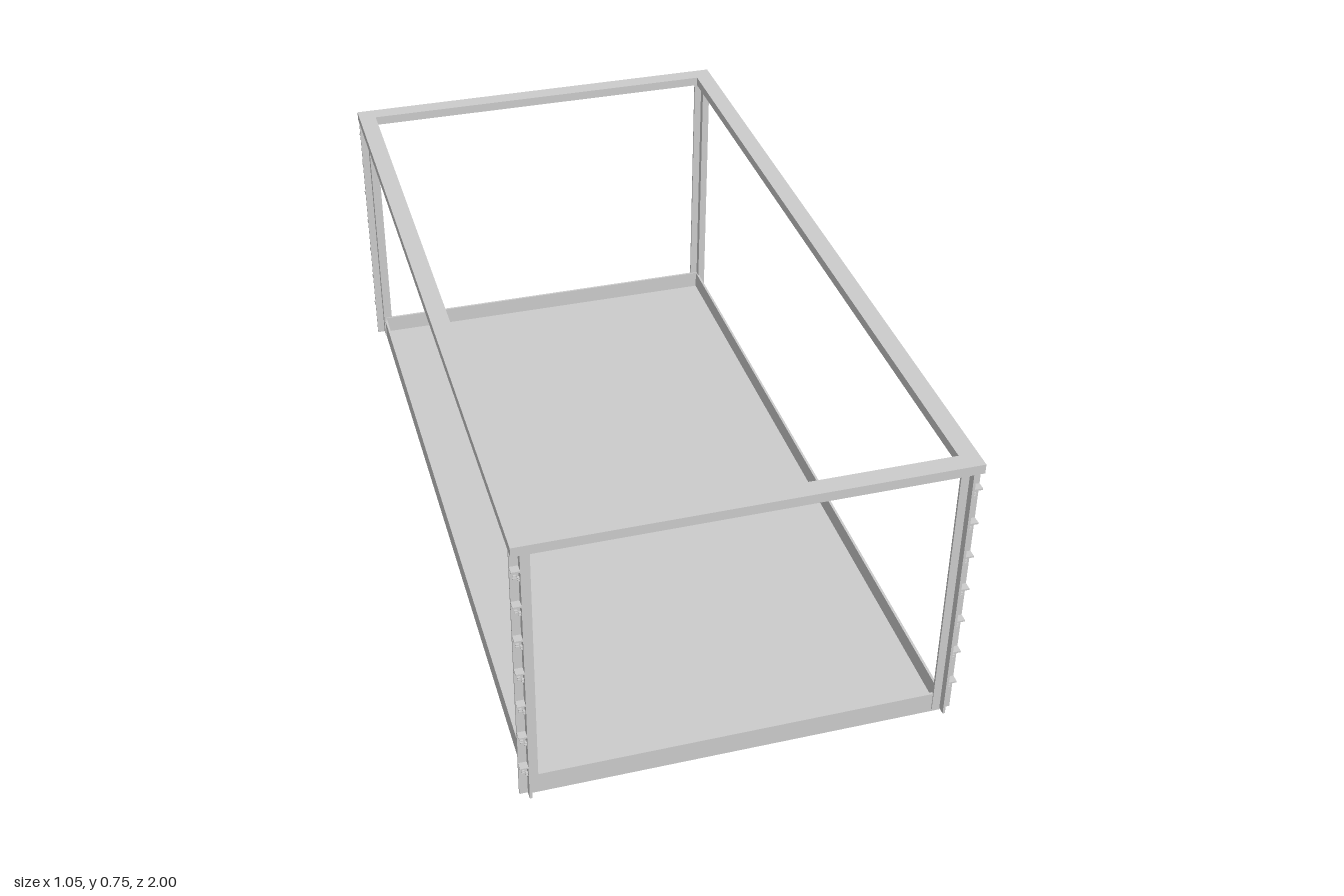
import * as THREE from 'three';

const HX = 0.523, HZ = 1;         // outer half extents
const W = 0.045;                  // post and rail width
const T = 0.006;                  // sheet thickness
const PX = HX - W / 2, PZ = HZ - W / 2; // post centres
const POST_BASE = 0.008, RAIL_BASE = 0.721, RAIL_TOP = 0.745;

const material = new THREE.MeshStandardMaterial({ color: 0xcccccc, flatShading: true });

function box(parent, name, w, h, d, x, y, z) {
  const mesh = new THREE.Mesh(new THREE.BoxGeometry(w, h, d), material);
  mesh.name = name;
  mesh.position.set(x, y, z);
  parent.add(mesh);
  return mesh;
}

// Mitred rail along x whose outer edge faces +z
function mitredRail(name, length, offset, angle) {
  const h = length / 2;
  const shape = new THREE.Shape([
    new THREE.Vector2(-h, -offset),
    new THREE.Vector2(h, -offset),
    new THREE.Vector2(h - W, -offset + W),
    new THREE.Vector2(-h + W, -offset + W),
  ]);
  const geometry = new THREE.ExtrudeGeometry(shape, { depth: RAIL_TOP - RAIL_BASE, bevelEnabled: false });
  geometry.rotateX(-Math.PI / 2);
  const rail = new THREE.Mesh(geometry, material);
  rail.name = name;
  rail.position.y = RAIL_BASE;
  rail.rotation.y = angle;
  return rail;
}

// Cross-section post with small ribs and pegs in its outward quadrant
function cornerPost(sx, sz) {
  const post = new THREE.Group();
  post.name = 'cornerPost';
  const h = RAIL_BASE - POST_BASE, y = POST_BASE + h / 2;
  box(post, 'postCrossWall', W, h, T, 0, y, 0);
  for (const s of [-1, 1]) {
    box(post, 'postSideWall', T, h, (W - T) / 2, 0, y, s * (W + T) / 4);
  }
  const rib = (W - T) / 2, c = (W + T) / 4;
  for (let i = 0; i < 7; i++) {
    const ry = 0.105 + i * 0.0955;
    box(post, 'postRib', rib, 0.004, rib, sx * c, ry, sz * c);
    for (const dy of [-0.029, -0.023]) {
      box(post, 'sidePeg', 0.005, 0.003, 0.007, sx * (T / 2 + 0.0025), ry + dy, sz * c);
      box(post, 'facePeg', 0.007, 0.003, 0.005, sx * c, ry + dy, sz * (T / 2 + 0.0025));
    }
  }
  post.position.set(sx * PX, 0, sz * PZ);
  return post;
}

export function createModel() {
  const model = new THREE.Group();
  model.name = 'openFrameTray';

  // Floor tray
  box(model, 'floorPlate', 2 * PX, 0.008, 2 * PZ, 0, 0.004, 0);
  for (const s of [-1, 1]) {
    box(model, 'endSkirt', 2 * PX, 0.048, T, 0, 0.032, s * (PZ - T / 2));
    box(model, 'sideSkirt', T, 0.048, 2 * (PZ - T), s * (PX - T / 2), 0.032, 0);
  }

  // Posts
  for (const sx of [-1, 1]) for (const sz of [-1, 1]) model.add(cornerPost(sx, sz));

  // Top frame
  model.add(mitredRail('frontRail', 2 * HX, HZ, 0));
  model.add(mitredRail('backRail', 2 * HX, HZ, Math.PI));
  model.add(mitredRail('leftRail', 2 * HZ, HX, Math.PI / 2));
  model.add(mitredRail('rightRail', 2 * HZ, HX, -Math.PI / 2));

  return model;
}
